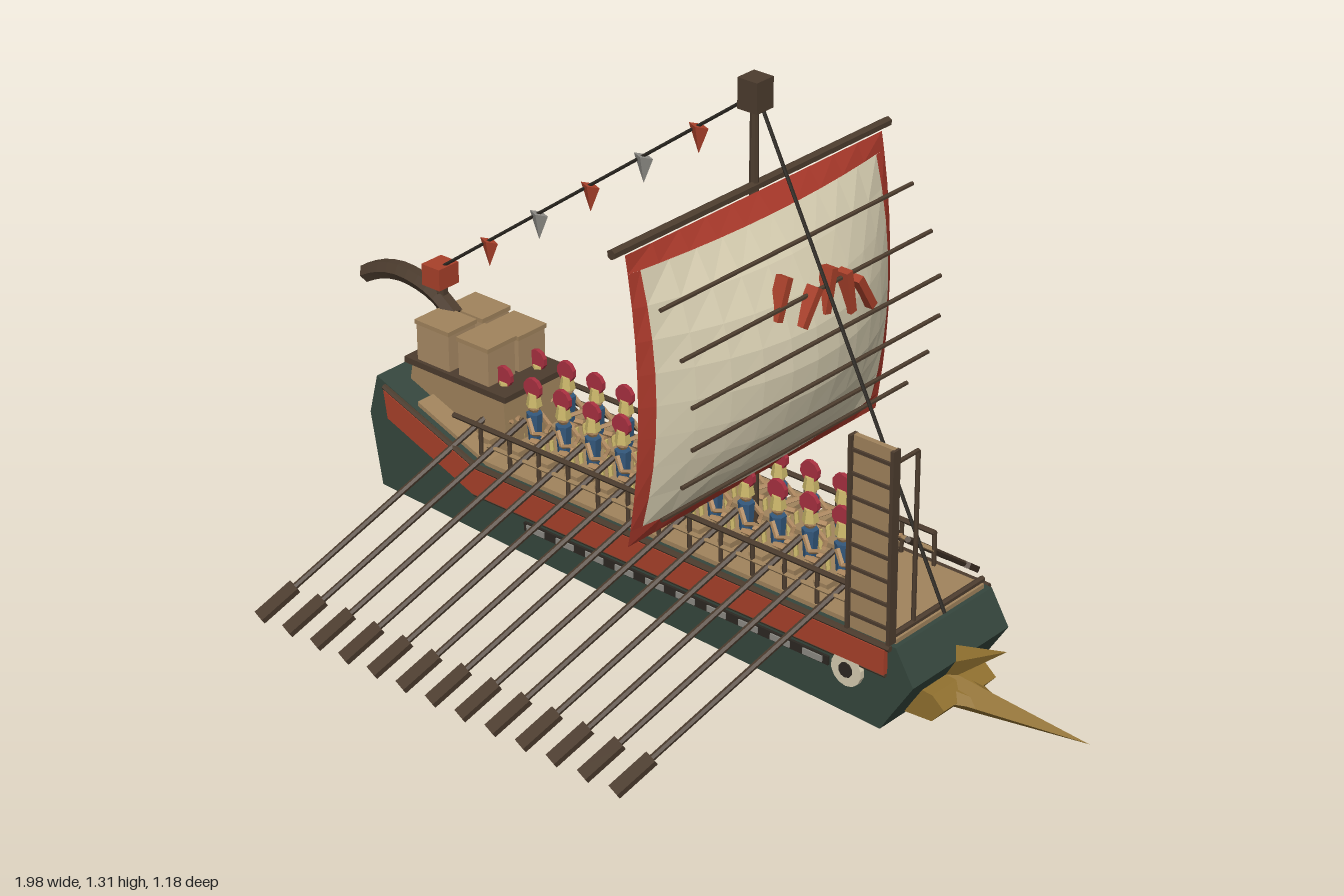
import * as THREE from 'three';

const mat = (color, side = THREE.FrontSide) => new THREE.MeshStandardMaterial({ color, flatShading: true, side });
const M = {
  hull: mat(0x35463d), red: mat(0xa8402a), tan: mat(0xa0835c), crate: mat(0xa88a64), brown: mat(0x4c3c2e),
  dark: mat(0x2c2822), cream: mat(0xd6ccb0), gold: mat(0x90702f), plume: mat(0xa83040), blue: mat(0x34587c),
  skin: mat(0xb08a60), brass: mat(0xc8b468), grey: mat(0x8c8a84),
  sail: mat(0xd8cfb2, THREE.DoubleSide), sailRed: mat(0xa8382a, THREE.DoubleSide),
};
const V = (x, y, z) => new THREE.Vector3(x, y, z);
const UP = V(0, 1, 0);

export function createModel() {
  const root = new THREE.Group();
  const add = (name, geo, m, x = 0, y = 0, z = 0, parent = root) => {
    const mesh = new THREE.Mesh(geo, m);
    mesh.name = name;
    mesh.position.set(x, y, z);
    parent.add(mesh);
    return mesh;
  };
  const box = (name, m, w, h, d, x, y, z, parent) => add(name, new THREE.BoxGeometry(w, h, d), m, x, y, z, parent);
  // straight round bar between two points
  const rod = (name, m, a, b, r, parent, r2 = r, sides = 6) => {
    const d = b.clone().sub(a), c = a.clone().add(b).multiplyScalar(0.5);
    const mesh = add(name, new THREE.CylinderGeometry(r2, r, d.length(), sides), m, c.x, c.y, c.z, parent);
    mesh.quaternion.setFromUnitVectors(UP, d.normalize());
    return mesh;
  };
  // side profile in x, y extruded across z
  const slab = (name, m, pts, depth, z) => {
    const shape = new THREE.Shape(pts.map(p => new THREE.Vector2(p[0], p[1])));
    const geo = new THREE.ExtrudeGeometry(shape, { depth, bevelEnabled: false });
    return add(name, geo.translate(0, 0, -depth / 2), m, 0, 0, z);
  };

  // hull and deck
  slab('hull', M.hull, [[-0.805, 0.14], [0.585, 0.09], [0.61, 0.13], [0.665, 0.215], [0.62, 0.29],
    [-0.5, 0.29], [-0.81, 0.406], [-0.835, 0.31]], 0.31, 0);
  slab('deck', M.tan, [[0.61, 0.285], [0.61, 0.3], [-0.5, 0.3], [-0.7, 0.375], [-0.7, 0.36], [-0.5, 0.285]], 0.285, 0);

  // side bands, trims, dashes and eyes
  for (const s of [1, -1]) {
    slab('sideBand', M.red, [[-0.52, 0.225], [0.6, 0.225], [0.6, 0.282], [-0.51, 0.286], [-0.78, 0.385], [-0.77, 0.32]], 0.014, s * 0.16);
    rod('upperTrim', M.brown, V(-0.51, 0.29, s * 0.16), V(0.61, 0.286, s * 0.16), 0.007);
    rod('sternTrim', M.brown, V(-0.51, 0.29, s * 0.16), V(-0.785, 0.39, s * 0.16), 0.007);
    rod('lowerTrim', M.brown, V(-0.52, 0.222, s * 0.16), V(0.6, 0.222, s * 0.16), 0.005);
    box('dashStrip', M.dark, 0.83, 0.02, 0.008, 0.04, 0.197, s * 0.157);
    for (let i = 0; i < 10; i++) box('dash', M.grey, 0.05, 0.014, 0.008, -0.34 + i * 0.084, 0.197, s * 0.16);
    add('eyeWhite', new THREE.CylinderGeometry(0.038, 0.038, 0.012, 14).rotateX(Math.PI / 2), M.cream, 0.505, 0.2, s * 0.16);
    add('eyePupil', new THREE.CylinderGeometry(0.017, 0.017, 0.018, 10).rotateX(Math.PI / 2), M.dark, 0.505, 0.2, s * 0.16);
    // deck railing
    rod('topRail', M.brown, V(-0.6, 0.375, s * 0.135), V(0.49, 0.375, s * 0.135), 0.006);
    rod('midRail', M.tan, V(-0.5, 0.335, s * 0.135), V(0.49, 0.335, s * 0.135), 0.005);
    for (let i = 0; i < 13; i++) rod('railPost', M.brown, V(-0.52 + i * 0.084, 0.29, s * 0.135), V(-0.52 + i * 0.084, 0.378, s * 0.135), 0.005);
  }

  // bow ram: wide lower spike, collar and raised upper spike
  const spike = (name, a, b, ry, rz, sides) => {
    const d = b.clone().sub(a);
    const geo = new THREE.ConeGeometry(1, d.length(), sides).translate(0, d.length() / 2, 0).rotateZ(-Math.PI / 2).scale(1, ry, rz);
    add(name, geo, M.gold, a.x, a.y, a.z).rotation.z = Math.atan2(d.y, d.x);
  };
  spike('ramSpike', V(0.6, 0.132, 0), V(0.98, 0.145, 0), 0.045, 0.05, 4);
  spike('ramWings', V(0.6, 0.135, 0), V(0.8, 0.14, 0), 0.03, 0.085, 6);
  slab('ramCollar', M.gold, [[0.58, 0.1], [0.66, 0.105], [0.69, 0.14], [0.66, 0.165], [0.6, 0.17]], 0.17, 0);
  spike('upperSpike', V(0.6, 0.18, 0), V(0.775, 0.272, 0), 0.045, 0.03, 4);

  // stern cabin, crates and curved tail
  slab('cabin', M.tan, [[-0.77, 0.38], [-0.48, 0.285], [-0.49, 0.43], [-0.76, 0.43]], 0.19, 0);
  box('cabinRoof', M.brown, 0.3, 0.014, 0.2, -0.63, 0.435, 0);
  for (const [x, z, w, h] of [[-0.7, -0.052, 0.1, 0.09], [-0.585, -0.048, 0.09, 0.085], [-0.585, 0.045, 0.088, 0.09], [-0.7, 0.05, 0.095, 0.095]]) {
    const crate = new THREE.Group();
    crate.name = 'crate';
    crate.position.set(x, 0.442 + h / 2, z);
    root.add(crate);
    box('crateBody', M.crate, w, h, 0.082, 0, 0, 0, crate);
    box('crateLid', M.tan, w + 0.006, 0.01, 0.088, 0, h / 2 - 0.004, 0, crate);
  }
  const tail = new THREE.CatmullRomCurve3([[-0.72, 0.52], [-0.78, 0.56], [-0.87, 0.578], [-0.94, 0.565], [-0.99, 0.54]].map(p => V(p[0], p[1], 0)));
  add('sternTail', new THREE.TubeGeometry(tail, 10, 0.022, 6), M.brown);
  for (const [t, r] of [[0, -1], [1, 1]]) {
    const p = tail.getPoint(t), cap = add('tailCap', new THREE.CircleGeometry(0.022, 6), M.brown, p.x, p.y, 0);
    cap.quaternion.setFromUnitVectors(V(0, 0, 1), tail.getTangent(t).multiplyScalar(r));
  }
  rod('sternPost', M.brown, V(-0.755, 0.4, 0), V(-0.76, 0.6, 0), 0.014);
  box('sternLantern', M.red, 0.052, 0.05, 0.06, -0.762, 0.61, 0);

  // oars
  for (const s of [1, -1]) for (let i = 0; i < 13; i++) {
    const x = -0.755 + i * 0.0845, oar = new THREE.Group();
    oar.name = 'oar';
    root.add(oar);
    const tip = V(x, 0.012, s * 0.58), grip = V(x + 0.215, 0.385, s * 0.065);
    rod('oarShaft', M.brown, tip, grip, 0.007, oar);
    const dir = grip.clone().sub(tip).normalize(), c = tip.clone().addScaledVector(dir, 0.05);
    const across = V(1, 0, 0).addScaledVector(dir, -dir.x).normalize();
    const blade = box('oarBlade', M.brown, 0.032, 0.1, 0.014, c.x, c.y, c.z, oar);
    blade.quaternion.setFromRotationMatrix(new THREE.Matrix4().makeBasis(across, dir, across.clone().cross(dir)));
  }

  // rowers on benches
  for (const s of [1, -1]) for (let i = 0; i < 12; i++) {
    const r = new THREE.Group();
    r.name = 'rower';
    r.position.set(-0.525 + i * 0.0842, 0.3, s * 0.052);
    root.add(r);
    box('bench', M.tan, 0.035, 0.012, 0.1, -0.005, 0.03, s * 0.015, r);
    box('benchLeg', M.tan, 0.02, 0.03, 0.02, -0.005, 0.012, 0, r);
    add('torso', new THREE.CylinderGeometry(0.018, 0.014, 0.065, 6), M.blue, 0, 0.07, 0, r);
    add('head', new THREE.SphereGeometry(0.015, 6, 5), M.skin, 0, 0.118, 0, r);
    add('helmet', new THREE.CylinderGeometry(0.013, 0.018, 0.028, 6), M.brass, 0, 0.134, 0, r);
    add('plume', new THREE.CylinderGeometry(0.024, 0.024, 0.01, 10).rotateX(Math.PI / 2), M.plume, -0.002, 0.16, 0, r);
    for (const k of [1, -1]) {
      rod('upperArm', M.skin, V(0, 0.095, k * 0.018), V(0.02, 0.068, k * 0.026), 0.006, r, 0.006, 5);
      rod('forearm', M.skin, V(0.02, 0.068, k * 0.026), V(0.045, 0.078, s * 0.02 + k * 0.008), 0.005, r, 0.005, 5);
      rod('thigh', M.skin, V(0, 0.04, k * 0.01), V(0.035, 0.042, k * 0.013), 0.008, r, 0.007, 5);
      rod('shin', M.brass, V(0.035, 0.042, k * 0.013), V(0.04, 0, k * 0.013), 0.006, r, 0.006, 5);
    }
  }

  // mast, yard and rigging
  rod('mast', M.brown, V(0.12, 0.28, 0), V(0.12, 1.26, 0), 0.015, root, 0.009, 8);
  box('mastTop', M.brown, 0.05, 0.066, 0.05, 0.122, 1.278, 0);
  rod('yard', M.brown, V(0.122, 1.08, -0.42), V(0.122, 1.08, 0.42), 0.011);
  rod('foreStay', M.dark, V(0.135, 1.26, 0), V(0.62, 0.3, 0), 0.004);
  rod('backStay', M.dark, V(0.11, 1.265, 0), V(-0.76, 0.625, 0), 0.004);
  for (let i = 0; i < 5; i++) {
    const x = -0.024 - i * 0.147, y = 1.265 + (x - 0.11) * 0.7356;
    add('pennant', new THREE.ConeGeometry(0.026, 0.06, 4).rotateX(Math.PI).scale(1, 1, 0.4), i % 2 ? M.grey : M.red, x, y - 0.03, 0);
  }

  // billowing sail: u runs across, v runs up, both from -1 to 1
  const belly = (u, v) => (1 - v * v) * (0.03 + 0.13 * (1 - u * u));
  const patch = (name, m, u0, u1, v0, v1, nu, nv) => {
    const geo = new THREE.PlaneGeometry(1, 1, nu, nv), p = geo.attributes.position;
    for (let i = 0; i < p.count; i++) {
      const u = u0 + (p.getX(i) + 0.5) * (u1 - u0), v = v0 + (p.getY(i) + 0.5) * (v1 - v0);
      p.setXYZ(i, 0.13 + belly(u, v), 0.7525 + 0.3175 * v, -0.39 * u);
    }
    geo.computeVertexNormals();
    add(name, geo, m);
  };
  patch('sailCloth', M.sail, -0.92, 0.92, -0.88, 0.88, 10, 8);
  for (const s of [1, -1]) {
    patch('sailSideBorder', M.sailRed, s > 0 ? 0.92 : -1, s > 0 ? 1 : -0.92, -0.88, 0.88, 1, 8);
    patch('sailEndBorder', M.sailRed, -1, 1, s > 0 ? 0.88 : -1, s > 0 ? 1 : -0.88, 10, 1);
  }
  for (const y of [0.525, 0.615, 0.707, 0.798, 0.89, 0.98]) {
    const x = 0.137 + belly(0, (y - 0.7525) / 0.3175);
    rod('sailBatten', M.brown, V(x, y, -0.385), V(x, y, 0.385), 0.005);
  }
  // slanted red strips on the cloth
  for (const [z, y, a, l] of [[0.08, 0.905, -0.35, 0.09], [0.017, 0.87, -0.6, 0.085], [-0.048, 0.882, -0.22, 0.095], [-0.11, 0.857, 0.16, 0.095], [-0.17, 0.832, 0.55, 0.09]])
    box('sailStrip', M.red, 0.03, l, 0.018, 0.135 + belly(z / 0.39, (y - 0.7525) / 0.3175), y, z).rotation.x = a;

  // raised boarding bridge with its gallows
  box('bridge', M.tan, 0.1, 0.43, 0.012, 0.555, 0.51, 0.152);
  for (const x of [0.503, 0.607]) box('bridgeEdge', M.brown, 0.008, 0.43, 0.022, x, 0.51, 0.155);
  for (let i = 0; i < 8; i++) box('bridgeSlat', M.brown, 0.104, 0.007, 0.018, 0.555, 0.33 + i * 0.052, 0.154);
  rod('gallowsPost', M.brown, V(0.6, 0.29, 0.075), V(0.6, 0.69, 0.075), 0.005);
  rod('gallowsArm', M.brown, V(0.6, 0.69, 0.075), V(0.6, 0.69, 0.152), 0.005);
  rod('bowRail', M.brown, V(0.6, 0.305, -0.15), V(0.6, 0.305, 0.15), 0.007);

  return root;
}
